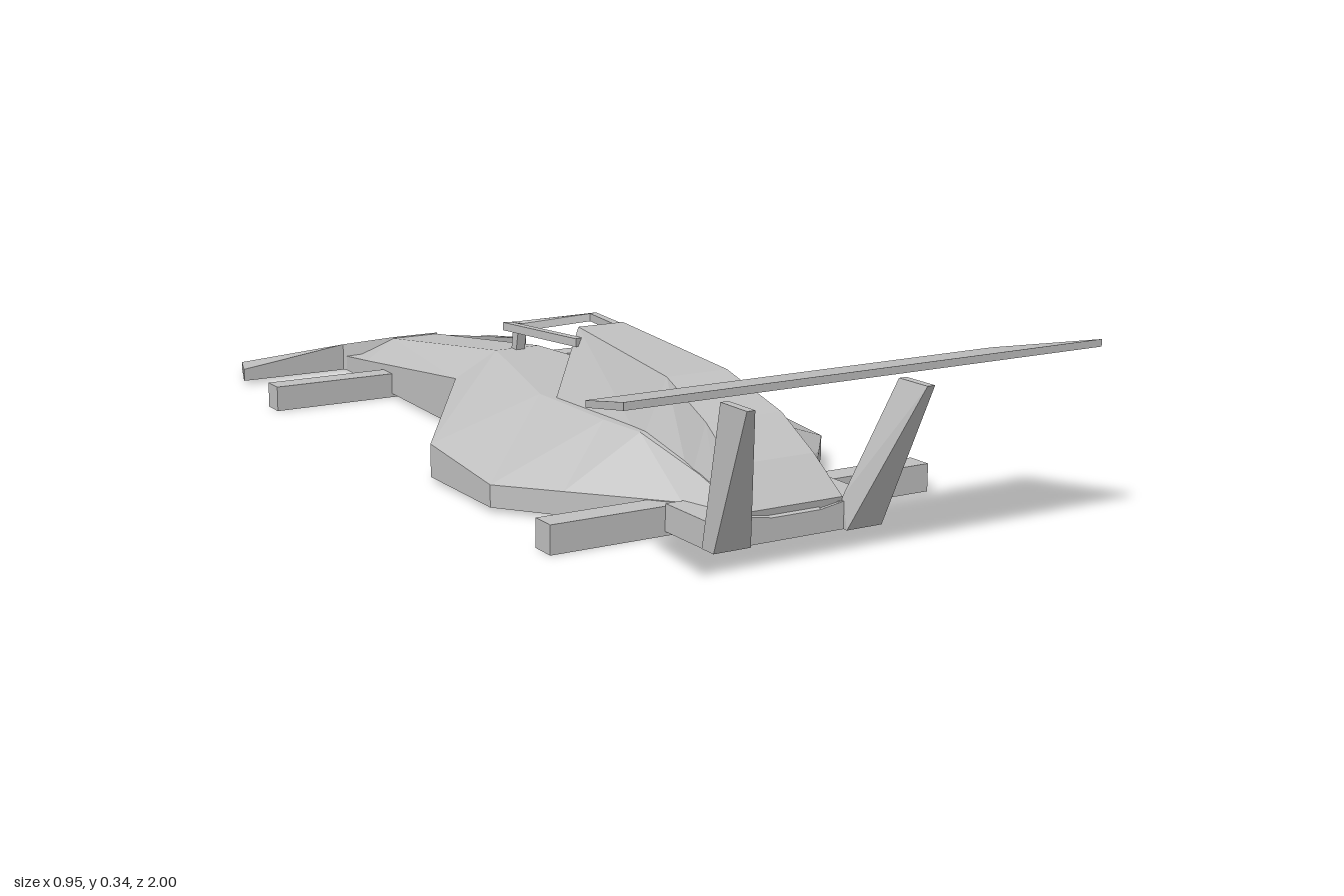
import * as THREE from 'three';
import { ConvexGeometry } from 'three/addons/geometries/ConvexGeometry.js';

// Skin through cross-sections; each loop runs counter-clockwise about the sweep direction
function loft(sections) {
  const pos = [];
  const tri = (a, b, c) => pos.push(...a, ...b, ...c);
  const n = sections[0].length;
  for (let s = 0; s < sections.length - 1; s++) {
    const a = sections[s], b = sections[s + 1];
    for (let i = 0; i < n; i++) {
      const j = (i + 1) % n;
      tri(a[i], a[j], b[j]);
      tri(a[i], b[j], b[i]);
    }
  }
  const first = sections[0], last = sections[sections.length - 1];
  for (let i = 1; i < n - 1; i++) {
    tri(first[0], first[i + 1], first[i]);
    tri(last[0], last[i], last[i + 1]);
  }
  const geo = new THREE.BufferGeometry();
  geo.setAttribute('position', new THREE.Float32BufferAttribute(pos, 3));
  geo.computeVertexNormals();
  return geo;
}

const hull = (pts) => new ConvexGeometry(pts.map((p) => new THREE.Vector3(...p)));
const mirrorLoop = (half) => [...half, ...half.slice().reverse().map(([x, y, z]) => [-x, y, z])];

export function createModel() {
  const group = new THREE.Group();
  const grey = new THREE.MeshStandardMaterial({ color: 0xc0c0c0, flatShading: true });
  grey.name = 'light grey';
  const add = (name, geo) => {
    const mesh = new THREE.Mesh(geo, grey);
    mesh.name = name;
    group.add(mesh);
    return mesh;
  };
  const floor = 0.008;

  // Body: z, half width, side edge height, deck half width, deck height
  const body = [
    [-0.83, 0.115, 0.04, 0.08, 0.05],
    [-0.69, 0.122, 0.055, 0.055, 0.1],
    [-0.2, 0.145, 0.11, 0.05, 0.16],
    [0.13, 0.365, 0.072, 0.13, 0.142],
    [0.37, 0.365, 0.05, 0.13, 0.141],
    [0.48, 0.277, 0.052, 0.12, 0.14],
    [0.65, 0.14, 0.055, 0.105, 0.1],
    [0.79, 0.1, 0.058, 0.05, 0.05],
  ];
  add('body', loft(body.map(([z, w, ys, t, yt]) =>
    mirrorLoop([[w, floor, z], [w, ys, z], [t, yt, z]]))));

  // Engine cover: base z, half width, height, then top z, half width, height
  const cover = [
    [0.18, 0.13, 0.12, 0.14, 0.05, 0.267],
    [0.48, 0.118, 0.12, 0.48, 0.065, 0.235],
    [0.63, 0.112, 0.08, 0.63, 0.08, 0.185],
    [0.71, 0.105, 0.06, 0.72, 0.085, 0.13],
    [0.78, 0.1, 0.04, 0.785, 0.1, 0.065],
  ];
  add('engineCover', loft(cover.map(([zb, b, yb, zt, t, yt]) =>
    mirrorLoop([[b, yb, zb], [t, yt, zt]]))));

  // Nose wing: x, front z and height, rear z and height
  const wingHalf = [
    [0.055, -1, 0.02, -0.69, 0.103],
    [0.12, -0.998, 0.02, -0.83, 0.068],
    [0.325, -0.95, 0.025, -0.83, 0.04],
    [0.365, -0.835, 0.035, -0.83, 0.035],
  ];
  const wing = [...wingHalf.slice().reverse().map(([x, ...r]) => [-x, ...r]), ...wingHalf];
  add('noseWing', loft(wing.map(([x, zf, yf, zr, yr]) =>
    [[x, floor, zf], [x, yf, zf], [x, yr, zr], [x, floor, zr]])));

  // Cockpit guard: outer x, z, inner x, z, centre height
  const guardHalf = [
    [0, -0.205, 0, -0.178, 0.207],
    [0.108, -0.06, 0.091, -0.055, 0.24],
    [0.073, 0.17, 0.056, 0.165, 0.243],
  ];
  const guard = [
    ...guardHalf.slice(1).reverse().map(([xo, zo, xi, zi, y]) => [-xo, zo, -xi, zi, y]),
    ...guardHalf,
  ];
  add('cockpitGuard', loft(guard.map(([xo, zo, xi, zi, y]) =>
    [[xo, y - 0.008, zo], [xo, y + 0.008, zo], [xi, y + 0.008, zi], [xi, y - 0.008, zi]])));
  const strut = [];
  for (const x of [-0.01, 0.01])
    strut.push([x, 0.15, -0.208], [x, 0.15, -0.188], [x, 0.212, -0.198], [x, 0.212, -0.175]);
  add('cockpitGuardStrut', hull(strut));

  // Axles
  for (const [name, z] of [['frontAxle', -0.57], ['rearAxle', 0.625]])
    add(name, new THREE.BoxGeometry(0.8, 0.053, 0.05)).position.set(0, 0.0265, z);

  // Rear wing
  const plate = [];
  for (const s of [-1, 1])
    plate.push([s * 0.415, 0.283, 0.79], [s * 0.415, 0.295, 0.79], [s * 0.473, 0.328, 1], [s * 0.473, 0.341, 1]);
  add('rearWing', hull(plate));

  // Pylons with their low footings
  for (const [side, s] of [['left', 1], ['right', -1]]) {
    const pylon = [
      [0.1, floor, 0.8], [0.175, floor, 0.8], [0.1, floor, 0.765], [0.175, floor, 0.765],
      [0.1, 0.065, 0.785], [0.173, 0.065, 0.78],
      [0.174, 0.275, 0.835], [0.19, 0.275, 0.835], [0.174, 0.275, 0.91], [0.19, 0.275, 0.91],
    ];
    add(side + 'WingPylon', hull(pylon.map(([x, y, z]) => [s * x, y, z])));
    const footing = [];
    for (const z of [0.65, 0.785])
      for (const y of [floor, 0.058]) footing.push([s * 0.09, y, z], [s * 0.174, y, z]);
    add(side + 'PylonFooting', hull(footing));
  }
  return group;
}
